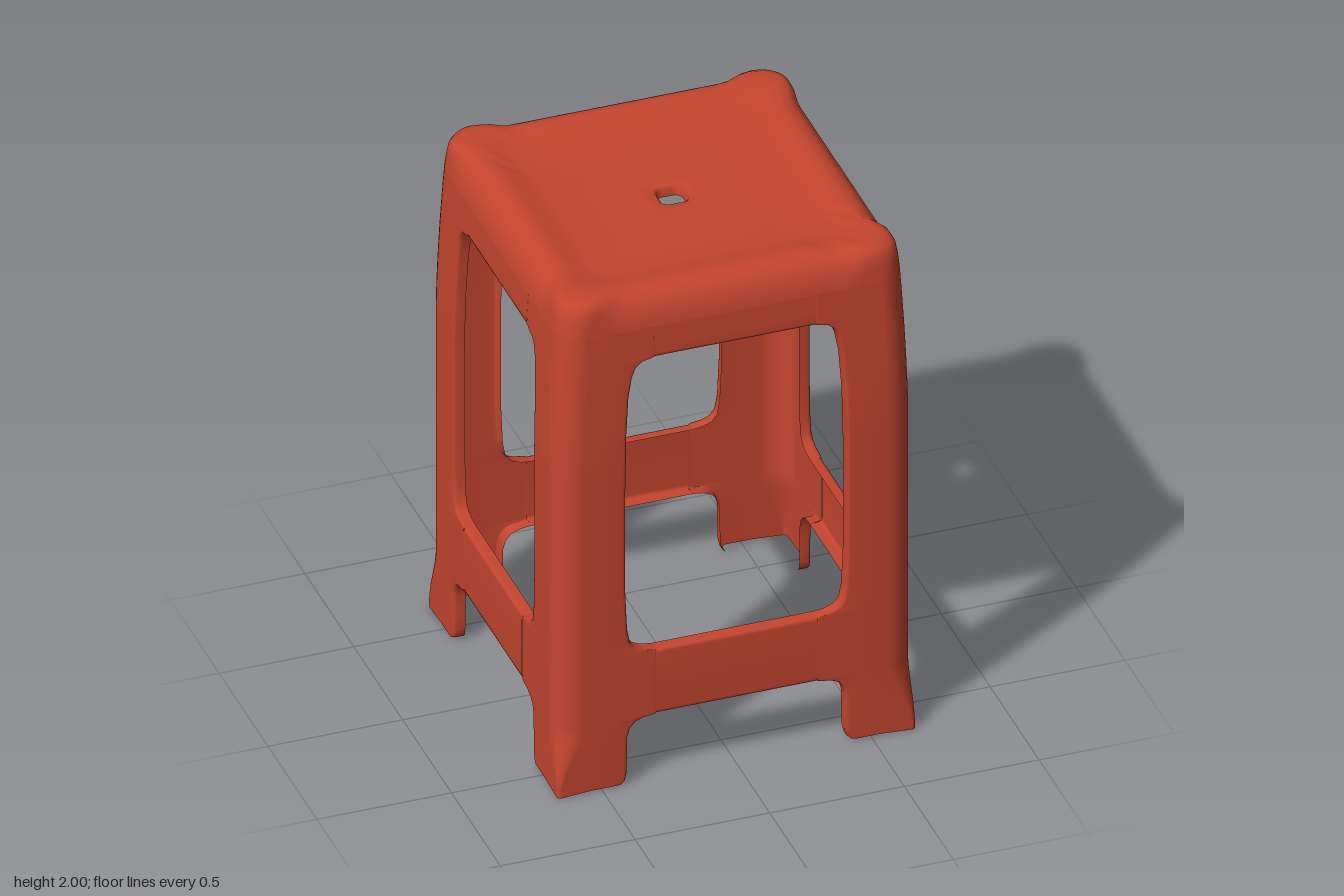
import * as THREE from 'three';
import { mergeVertices } from 'three/addons/utils/BufferGeometryUtils.js';

const smooth = THREE.MathUtils.smoothstep;
const lerp = THREE.MathUtils.lerp;
const LIP = 0.045;       // depth of the curled edge
const BAND_END = 0.3;    // where the rails meet the legs
const WALL_TOP = 1.87;   // where the walls meet the seat

// Half width of the body and radius of its upright corners at a height
const halfWidth = y => 0.665 - 0.024 * Math.pow(Math.max(0, (y - 1.3) / 0.6), 1.5);
const cornerRadius = y => lerp(0.015, 0.1, smooth(y, 0.02, 0.28));

// Smooth sheet through rows of points
function sheet(rows) {
  const n = rows[0].length, index = [];
  for (let i = 0; i < rows.length - 1; i++) {
    for (let j = 0; j < n - 1; j++) {
      const a = i * n + j, b = a + 1, c = a + n, d = c + 1;
      index.push(a, b, d, a, d, c);
    }
  }
  let g = new THREE.BufferGeometry();
  g.setAttribute('position', new THREE.Float32BufferAttribute(rows.flat(2), 3));
  g.setIndex(index);
  g = mergeVertices(g, 1e-5);
  g.computeVertexNormals();
  return g;
}

// Leg edge from foot to seat: [inner edge x, y, curl]
const legEdge = [
  [0.425, 0.008, 1], [0.412, 0.02, 1], [0.405, 0.05, 1], [0.402, 0.2, 1],
  [0.392, 0.235, 1], [0.372, 0.257, 1], [0.34, 0.27, 1], [BAND_END, 0.275, 1],
  [BAND_END, 0.28, 0.02], [BAND_END, 0.537, 0.02],
  [BAND_END, 0.542, 1], [0.34, 0.547, 1], [0.372, 0.56, 1], [0.393, 0.585, 1],
  [0.403, 0.64, 1], [0.41, 0.8, 1], [0.41, 1.2, 1], [0.405, 1.45, 1],
  [0.395, 1.6, 1], [0.381, 1.68, 1], [0.366, 1.716, 1], [0.34, 1.737, 1],
  [BAND_END, 1.745, 1], [BAND_END, 1.75, 0.02], [BAND_END, WALL_TOP, 0.02],
];

// L-shaped section of a leg with curled edges and a rounded corner
function legSection(e, y, curl) {
  const w = halfWidth(y), r = cornerRadius(y);
  const half = [
    [e, w - LIP * curl], [e, w - 0.015 * curl], [e + 0.004, w - 0.004 * curl],
    [e + 0.015, w], [(e + w - r) / 2, w],
  ];
  const arc = [];
  for (let i = 0; i <= 8; i++) {
    const a = (i / 8) * Math.PI / 2;
    arc.push([w - r + r * Math.sin(a), w - r + r * Math.cos(a)]);
  }
  const other = half.map(([x, z]) => [z, x]).reverse();
  // The corner of the foot reaches slightly lower than its edges
  return [...half, ...arc, ...other].map(([x, z]) =>
    [x, y < 0.01 ? y * (1 - smooth(Math.min(x, z), 0.55, 0.66)) : y, z]);
}

function legGeometry() {
  const rows = [];
  legEdge.forEach(([e, y, c], i) => {
    rows.push(legSection(e, y, c));
    const next = legEdge[i + 1];
    if (!next) return;
    const steps = Math.max(1, Math.round((next[1] - y) / 0.05));
    for (let k = 1; k < steps; k++) {
      const t = k / steps;
      rows.push(legSection(lerp(e, next[0], t), lerp(y, next[1], t), lerp(c, next[2], t)));
    }
  });
  return sheet(rows);
}

// Rail between two legs from a list of [y, depth behind the wall face]
function railGeometry(profile) {
  return sheet(profile.map(([y, depth]) =>
    [-1, -0.5, 0, 0.5, 1].map(t => [t * BAND_END, y, halfWidth(y) - depth])));
}
const lowerCurl = y => [[y, LIP], [y, 0.015], [y + 0.004, 0.004], [y + 0.015, 0]];
const upperCurl = y => [[y - 0.015, 0], [y - 0.004, 0.004], [y, 0.015], [y, LIP]];

// Closed rounded square as [x, z] points
function roundedSquare(w) {
  const r = Math.min(0.1, 0.6 * w), s = w - r, side = [], ring = [];
  for (let i = 0; i <= 28; i++) side.push([lerp(-s, s, i / 28), w]);
  for (let i = 1; i < 8; i++) {
    const a = (i / 8) * Math.PI / 2;
    side.push([s + r * Math.sin(a), s + r * Math.cos(a)]);
  }
  for (let k = 0; k < 4; k++) {
    for (const [x, z] of side) ring.push([[x, z], [z, -x], [-x, -z], [-z, x]][k]);
  }
  ring.push(ring[0]);
  return ring;
}

// Dished seat: [width, y] along the edges, [width, y] at the raised corners
function seatGeometry() {
  const w0 = halfWidth(WALL_TOP);
  const rings = [
    [w0, WALL_TOP, w0, WALL_TOP], [0.637, 1.905, 0.638, 1.92],
    [0.622, 1.945, 0.632, 1.962], [0.6, 1.972, 0.62, 1.987],
    [0.572, 1.99, 0.597, 1.999], [0.54, 1.997, 0.56, 2.0],
    [0.505, 1.991, 0.52, 1.995], [0.46, 1.979, 0.475, 1.98],
    [0.42, 1.972, 0.43, 1.972], [0.25, 1.968, 0.25, 1.968],
    [0.1, 1.967, 0.1, 1.967], [0.06, 1.964, 0.06, 1.964],
    [0.05, 1.954, 0.05, 1.954], [0.048, 1.925, 0.048, 1.925],
  ];
  return sheet(rings.map(([wm, ym, wc, yc], i) => {
    const mid = roundedSquare(wm), corner = roundedSquare(wc);
    const groove = i > 1 && i < 7 ? 0.008 : 0;
    return mid.map(([x, z], j) => {
      const u = Math.min(Math.abs(x), Math.abs(z)) / wm;
      const p = smooth(u, 0.64, 0.8);
      const dip = groove * 4 * p * (1 - p);
      return [lerp(x, corner[j][0], p), lerp(ym, yc, p) - dip, lerp(z, corner[j][1], p)];
    });
  }));
}

export function createModel() {
  const red = new THREE.MeshStandardMaterial({ color: 0xc4452f, side: THREE.DoubleSide });
  red.name = 'red plastic';
  const model = new THREE.Group();
  model.name = 'stool';

  const parts = {
    leg: legGeometry(),
    lowerRail: railGeometry([...lowerCurl(0.275), [0.41, 0], ...upperCurl(0.542)]),
    upperRail: railGeometry([...lowerCurl(1.745), [1.81, 0], [WALL_TOP, 0]]),
  };
  // Four equal sides
  for (let k = 0; k < 4; k++) {
    for (const [name, geometry] of Object.entries(parts)) {
      const mesh = new THREE.Mesh(geometry, red);
      mesh.name = name;
      mesh.rotation.y = k * Math.PI / 2;
      model.add(mesh);
    }
  }

  const seat = new THREE.Mesh(seatGeometry(), red);
  seat.name = 'seat';
  model.add(seat);
  return model;
}
